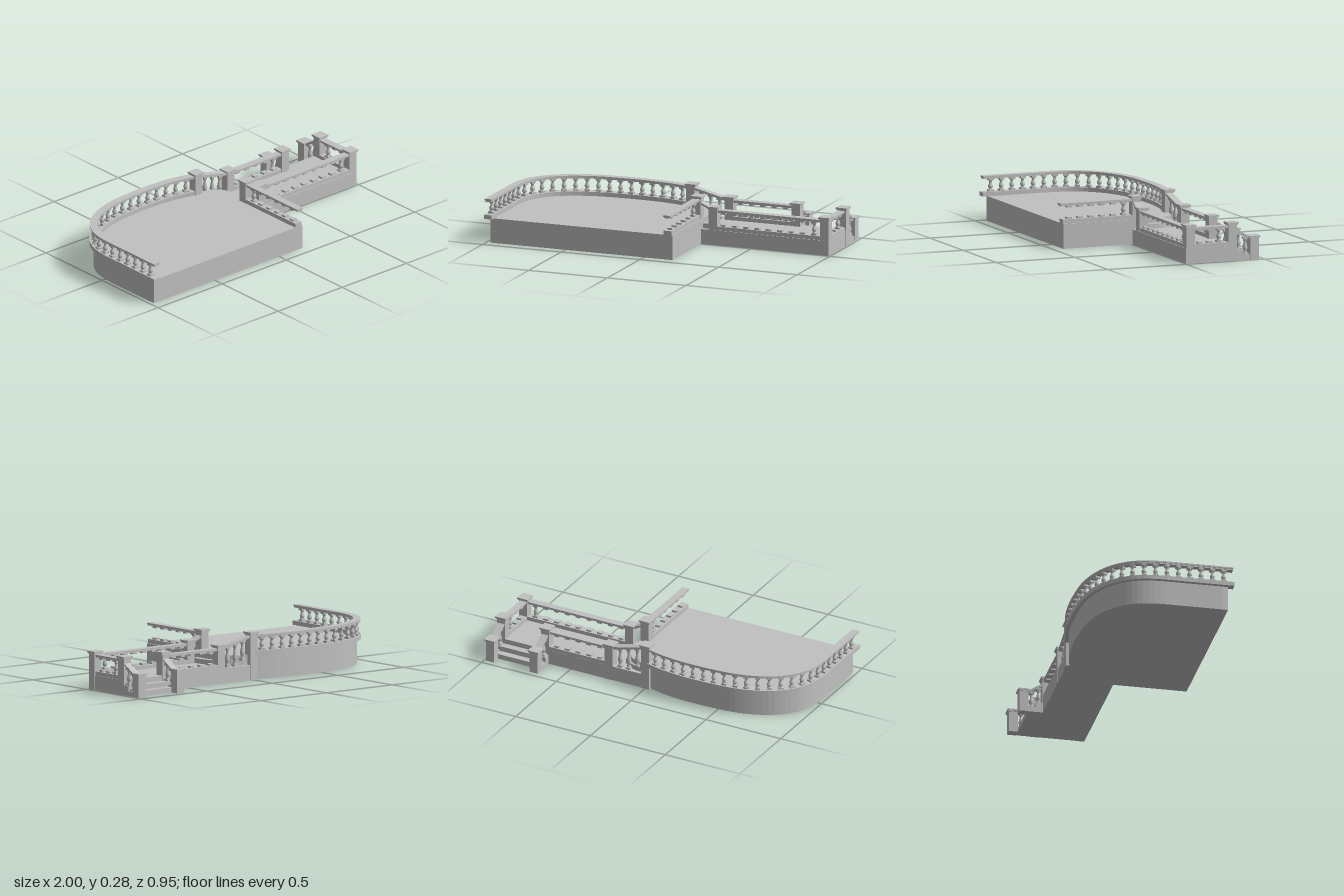
import * as THREE from 'three';

const stone = new THREE.MeshStandardMaterial({ color: 0xc0c0c0 });
stone.name = 'light grey stone';

export function createModel() {
  const root = new THREE.Group();
  root.name = 'balustradedTerrace';

  const add = (geo, name, parent = root) => {
    const m = new THREE.Mesh(geo, stone);
    m.name = name;
    parent.add(m);
    return m;
  };
  const box = (x0, x1, y0, y1, z0, z1, name) =>
    add(new THREE.BoxGeometry(x1 - x0, y1 - y0, z1 - z0), name)
      .position.set((x0 + x1) / 2, (y0 + y1) / 2, (z0 + z1) / 2);

  // Slab with a plan outline of [x, z] points
  const slab = (pts, y0, y1, name) => {
    const shape = new THREE.Shape(pts.map(([x, z]) => new THREE.Vector2(x, -z)));
    const geo = new THREE.ExtrudeGeometry(shape, { depth: y1 - y0, bevelEnabled: false });
    geo.rotateX(-Math.PI / 2).translate(0, y0, 0);
    add(geo, name);
  };

  // Straight bar between two points (top centre line), sheared when it slopes
  const bar = (a, b, w, h, name) => {
    const dx = b[0] - a[0], dy = b[1] - a[1], dz = b[2] - a[2];
    const len = Math.hypot(dx, dz);
    const geo = new THREE.BoxGeometry(len, h, w);
    const p = geo.attributes.position;
    for (let i = 0; i < p.count; i++) p.setY(i, p.getY(i) + (p.getX(i) / len) * dy);
    geo.computeVertexNormals();
    geo.rotateY(-Math.atan2(dz, dx));
    geo.translate((a[0] + b[0]) / 2, (a[1] + b[1]) / 2 - h / 2, (a[2] + b[2]) / 2);
    add(geo, name);
  };
  // Handrail: wide cap over a narrower moulding
  const handrail = (a, b, name) => {
    bar(a, b, 0.045, 0.009, name);
    bar([a[0], a[1] - 0.009, a[2]], [b[0], b[1] - 0.009, b[2]], 0.036, 0.007, name + 'Moulding');
  };

  // Turned baluster between two square blocks
  const profile = [[0.013, 0], [0.013, 0.06], [0.009, 0.12], [0.013, 0.25], [0.015, 0.36],
    [0.012, 0.52], [0.008, 0.7], [0.008, 0.82], [0.012, 0.9], [0.012, 1]];
  const baluster = (x, y0, y1, z, angle = 0, turned = true) => {
    const g = new THREE.Group();
    g.name = 'baluster';
    const block = new THREE.BoxGeometry(0.031, 0.011, 0.031);
    add(block, 'baseBlock', g).position.y = 0.0055;
    add(block, 'topBlock', g).position.y = y1 - y0 - 0.0055;
    if (turned) {
      const h = y1 - y0 - 0.022;
      add(new THREE.LatheGeometry(profile.map(([r, t]) => new THREE.Vector2(r, t * h)), 12),
        'turnedShaft', g).position.y = 0.011;
    }
    g.position.set(x, y0, z);
    g.rotation.y = angle;
    root.add(g);
  };

  // Square post with a two-step cap
  const post = (x, z, top) => {
    box(x - 0.027, x + 0.027, 0, top - 0.016, z - 0.027, z + 0.027, 'post');
    box(x - 0.031, x + 0.031, top - 0.016, top - 0.009, z - 0.031, z + 0.031, 'postCapMoulding');
    box(x - 0.035, x + 0.035, top - 0.009, top, z - 0.035, z + 0.035, 'postCap');
  };

  // Curved centre line of the upper balustrade
  const curve = new THREE.CatmullRomCurve3([
    [-0.978, 0.47], [-0.978, 0.2], [-0.975, 0], [-0.957, -0.09], [-0.915, -0.17], [-0.84, -0.245],
    [-0.75, -0.295], [-0.62, -0.335], [-0.47, -0.35], [-0.3, -0.353], [-0.15, -0.34], [0, -0.305],
  ].map(([x, z]) => new THREE.Vector3(x, 0, z)), false, 'centripetal');
  const offset = (d, n = 48, start = 0) => Array.from({ length: n + 1 }, (_, i) => {
    const u = start + (1 - start) * i / n;
    const p = curve.getPointAt(u), t = curve.getTangentAt(u);
    return [p.x - t.z * d, p.z + t.x * d];
  });
  const band = (w, y0, y1, name, start) =>
    slab([...offset(w / 2, 48, start), ...offset(-w / 2, 48, start).reverse()], y0, y1, name);

  // Upper platform and the curved steps down to the lower terrace
  const back = offset(0, 48).filter(([, z]) => z < 0.42);
  const stepEdge = (pts) => new THREE.SplineCurve(pts.map((p) => new THREE.Vector2(...p)))
    .getPoints(14).map((p) => [p.x, p.y]);
  slab([[-0.975, 0.437], ...back,
    ...stepEdge([[0.03, -0.305], [0.095, -0.285], [0.145, -0.24], [0.175, -0.15], [0.182, -0.03]]),
    [0.182, 0.437]], 0, 0.148, 'upperPlatform');
  slab([[0, -0.3],
    ...stepEdge([[0.06, -0.305], [0.125, -0.285], [0.175, -0.24], [0.21, -0.15], [0.22, -0.03]]),
    [0.1, -0.03]], 0.08, 0.119, 'curvedStep');

  // Upper balustrades
  band(0.05, 0.148, 0.173, 'curvedCurb');
  band(0.036, 0.251, 0.259, 'curvedRailMoulding', 0.004);
  band(0.045, 0.259, 0.268, 'curvedHandrail', 0.004);
  const length = curve.getLength();
  for (let s = 0.06; s < length - 0.04; s += 0.068) {
    const p = curve.getPointAt(s / length), t = curve.getTangentAt(s / length);
    baluster(p.x, 0.173, 0.251, p.z, -Math.atan2(t.z, t.x));
  }
  bar([0.15, 0.173, -0.03], [0.15, 0.173, 0.437], 0.05, 0.025, 'sideCurb');
  handrail([0.15, 0.268, -0.03], [0.15, 0.268, 0.45], 'sideHandrail');
  for (let i = 0; i < 6; i++) baluster(0.15, 0.173, 0.252, 0.04 + i * 0.07, 0, i === 0);

  // Lower terrace
  box(0, 0.988, 0, 0.09, -0.327, -0.004, 'lowerTerrace');

  // Lower balustrades: start and end of each run, with block positions
  const lowerRun = (a, b, first, step, count, turnedFirst) => {
    bar([a[0], 0.113, a[1]], [b[0], 0.113, b[1]], 0.048, 0.023, 'lowerCurb');
    handrail([a[0], 0.211, a[1]], [b[0], 0.211, b[1]], 'lowerHandrail');
    for (let i = 0; i < count; i++)
      baluster(first[0] + step[0] * i, 0.113, 0.196, first[1] + step[1] * i, 0, turnedFirst && i === 0);
  };
  lowerRun([0.255, -0.033], [0.96, -0.033], [0.89, -0.033], [-0.072, 0], 9, true);
  lowerRun([0.245, -0.302], [0.67, -0.302], [0.6, -0.302], [-0.072, 0], 5, false);
  lowerRun([0.96, -0.302], [0.96, -0.033], [0.96, -0.224], [0, 0.062], 3, true);

  // Sloping rails beside the curved steps
  handrail([0, 0.27, -0.302], [0.245, 0.211, -0.302], 'slopingHandrail');
  for (let i = 0; i < 3; i++) {
    const x = 0.065 + i * 0.057;
    baluster(x, i === 0 ? 0.119 : 0.09, 0.256 - x * 0.24, -0.302);
  }
  handrail([0.15, 0.262, -0.033], [0.255, 0.211, -0.033], 'shortSlopingHandrail');

  // Posts
  for (const [x, z, top] of [
    [0, -0.305, 0.285], [0.15, -0.033, 0.285], [0.245, -0.302, 0.23], [0.255, -0.033, 0.23],
    [0.67, -0.302, 0.23], [0.963, -0.302, 0.23], [0.963, -0.033, 0.23],
    [0.67, -0.44, 0.143], [0.963, -0.44, 0.143]]) post(x, z, top);

  // Back stairs with sloping side rails
  box(0.645, 0.988, 0, 0.06, -0.37, -0.32, 'upperStair');
  box(0.645, 0.988, 0, 0.03, -0.412, -0.32, 'lowerStair');
  for (const x of [0.67, 0.963]) {
    handrail([x, 0.204, -0.305], [x, 0.126, -0.43], 'stairHandrail');
    baluster(x, 0.06, 0.163, -0.348);
    baluster(x, 0.03, 0.136, -0.39);
  }
  return root;
}
